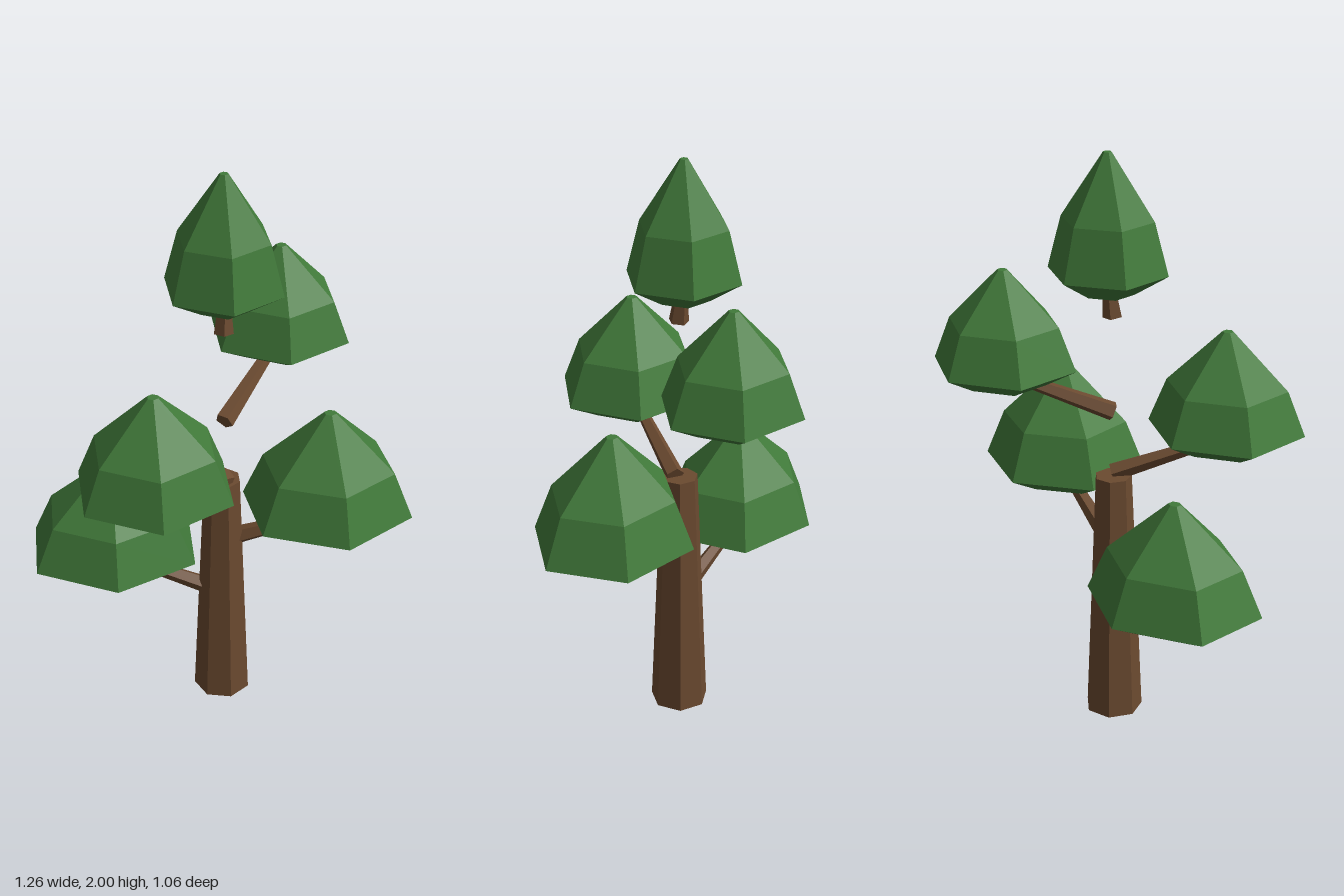
import * as THREE from 'three';

const bark = new THREE.MeshStandardMaterial({ color: 0x6b4a30, flatShading: true });
bark.name = 'bark brown';
const leaf = new THREE.MeshStandardMaterial({ color: 0x417a3a, flatShading: true });
leaf.name = 'leaf green';

// Leaf clump outline: [share of the radius, share of the height]
const CLUMP = [[0, 0], [0.58, 0], [1, 0.15], [0.77, 0.53], [0.07, 1], [0, 1]];

// Six-sided leaf clump, stretched separately in x and z
function clump(name, { x, z, bottom, top, rx, rz, turn = 0, under = 0.58 }) {
  const points = CLUMP.map(([r, h], i) => new THREE.Vector2(i === 1 ? under : r, h));
  const geometry = new THREE.LatheGeometry(points, 6, THREE.MathUtils.degToRad(turn));
  geometry.scale(rx, top - bottom, rz);
  const mesh = new THREE.Mesh(geometry, leaf);
  mesh.name = name;
  mesh.position.set(x, bottom, z);
  return mesh;
}

// Tapered branch from one point to another
function branch(name, from, to, r0 = 0.033, r1 = 0.019) {
  const a = new THREE.Vector3(...from);
  const b = new THREE.Vector3(...to);
  const dir = b.clone().sub(a);
  const mesh = new THREE.Mesh(new THREE.CylinderGeometry(r1, r0, dir.length(), 5), bark);
  mesh.name = name;
  mesh.position.copy(a).add(b).multiplyScalar(0.5);
  mesh.quaternion.setFromUnitVectors(new THREE.Vector3(0, 1, 0), dir.normalize());
  return mesh;
}

export function createModel() {
  const tree = new THREE.Group();
  tree.name = 'tree';

  // Seven-sided tapering trunk
  const trunk = new THREE.Mesh(
    new THREE.CylinderGeometry(0.063, 0.1, 0.89, 7, 1, false, -Math.PI / 2), bark);
  trunk.name = 'trunk';
  trunk.position.set(0.01, 0.445, -0.015);
  tree.add(trunk);

  // Branches, the upper two standing clear of the trunk
  tree.add(
    branch('lowerRightBranch', [0.0, 0.42, -0.015], [-0.34, 0.54, -0.08]),
    branch('lowerLeftBranch', [0.05, 0.65, -0.01], [0.34, 0.77, 0.06]),
    branch('upperRightBranch', [0.025, 0.895, -0.005], [-0.22, 1.02, 0.25]),
    branch('upperLeftBranch', [0.015, 1.12, -0.01], [0.22, 1.26, -0.28]),
    branch('topStem', [0.013, 1.455, -0.013], [0.017, 1.57, -0.025], 0.034, 0.02),
  );

  // Leaf clumps
  tree.add(
    clump('lowerRightLeaves', { x: -0.362, z: -0.085, bottom: 0.52, top: 0.935, rx: 0.314, rz: 0.27 }),
    clump('lowerLeftLeaves', { x: 0.357, z: 0.067, bottom: 0.75, top: 1.18, rx: 0.297, rz: 0.27, turn: 7 }),
    clump('upperRightLeaves', { x: -0.235, z: 0.27, bottom: 1.0, top: 1.4, rx: 0.272, rz: 0.26, turn: 2 }),
    clump('upperLeftLeaves', { x: 0.233, z: -0.29, bottom: 1.24, top: 1.62, rx: 0.25, rz: 0.237, turn: 2 }),
    clump('topLeaves', { x: 0.016, z: -0.032, bottom: 1.54, top: 2.0, rx: 0.205, rz: 0.195, turn: 3.5, under: 0.45 }),
  );

  return tree;
}
